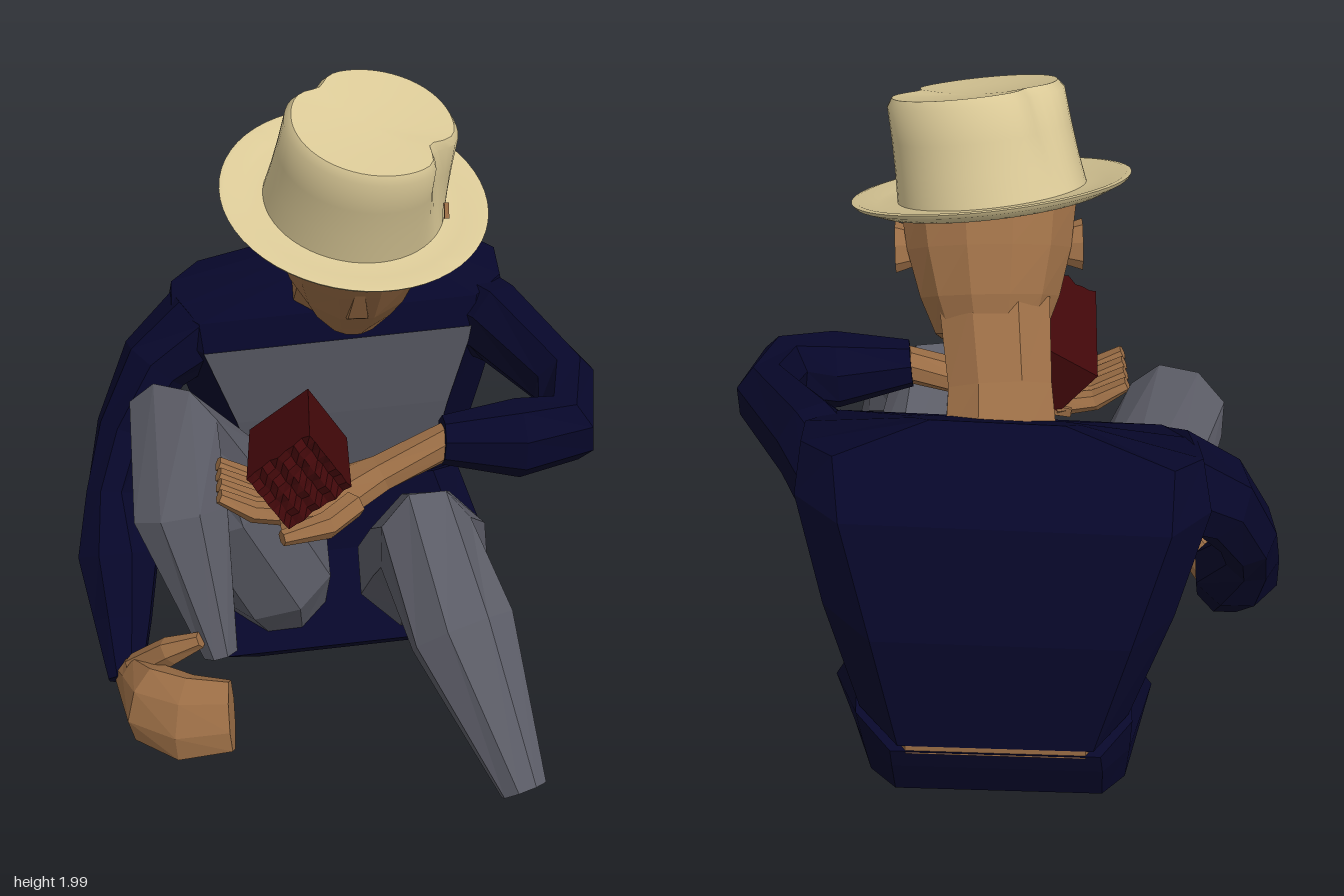
import * as THREE from 'three';
import { toCreasedNormals } from 'three/addons/utils/BufferGeometryUtils.js';

const V = (x, y, z) => new THREE.Vector3(x, y, z);
const paint = (name, color) => {
  const m = new THREE.MeshStandardMaterial({ color, side: THREE.DoubleSide });
  m.name = name;
  return m;
};

// Faceted skin over cross-sections; open strips have no wrap and no caps
function loft(rings, closed = true) {
  const pos = [], n = rings[0].length;
  const tri = (...ps) => ps.forEach((p) => pos.push(p.x, p.y, p.z));
  for (let i = 0; i < rings.length - 1; i++) {
    for (let j = 0; j < (closed ? n : n - 1); j++) {
      const k = (j + 1) % n;
      const a = rings[i][j], b = rings[i][k], c = rings[i + 1][k], d = rings[i + 1][j];
      tri(a, b, c);
      tri(a, c, d);
    }
  }
  if (closed) {
    [rings[0], rings[rings.length - 1]].forEach((r, end) => {
      const mid = r.reduce((s, p) => s.add(p), V(0, 0, 0)).divideScalar(n);
      for (let j = 0; j < n; j++) {
        const k = (j + 1) % n;
        if (end) tri(mid, r[j], r[k]);
        else tri(mid, r[k], r[j]);
      }
    });
  }
  const g = new THREE.BufferGeometry();
  g.setAttribute('position', new THREE.Float32BufferAttribute(pos, 3));
  g.computeVertexNormals();
  return g;
}

// Limb along stations [x, y, z, halfWidthAlongRef, halfDepth]
function limb(stations, ref, sides = 8, fixedDir = null) {
  const c = stations.map((s) => V(s[0], s[1], s[2]));
  const rings = stations.map((st, i) => {
    const d = V(0, 0, 0);
    if (fixedDir) d.copy(fixedDir);
    else {
      if (i > 0) d.add(c[i].clone().sub(c[i - 1]).normalize());
      if (i < c.length - 1) d.add(c[i + 1].clone().sub(c[i]).normalize());
      d.normalize();
    }
    const s = ref.clone().addScaledVector(d, -ref.dot(d)).normalize();
    const t = d.clone().cross(s);
    return Array.from({ length: sides }, (_, j) => {
      const a = ((j + 0.5) / sides) * Math.PI * 2, k = 1.06;
      return c[i].clone().addScaledVector(s, Math.cos(a) * st[3] * k).addScaledVector(t, Math.sin(a) * st[4] * k);
    });
  });
  return loft(rings);
}

// Bevelled section, higher on the model's left; inset narrows its back
function section([x0, x1, zb, zf, yb, yf], c = 0.1, inset = 0) {
  const outline = [[x1 - c, zf], [x1, zf - c], [x1 - inset, zb + c], [x1 - c - inset, zb],
    [x0 + c + inset, zb], [x0 + inset, zb + c], [x0, zf - c], [x0 + c, zf]];
  return outline.map(([x, z]) => {
    const y = yb + ((yf - yb) * (z - zb)) / (zf - zb) + (x - 0.05) * 0.08;
    return V(x, Math.max(0, y), z);
  });
}

export function createModel() {
  const model = new THREE.Group();
  const navy = paint('navy cloth', 0x07072a);
  const grey = paint('grey cloth', 0x5b5c66);
  const skin = paint('skin', 0x9a6d45);
  const straw = paint('straw', 0xd9c896);
  const red = paint('dark red', 0x42080a);
  const X = V(1, 0, 0), Y = V(0, 1, 0), Z = V(0, 0, 1);
  const add = (name, geometry, material, parent = model) => {
    const m = new THREE.Mesh(geometry, material);
    m.name = name;
    parent.add(m);
    return m;
  };

  // Jacket body with the shirt showing at its front
  const torso = [
    section([-0.28, 0.43, -0.77, -0.44, 0.42, 0.55]),
    section([-0.38, 0.5, -0.8, -0.38, 0.82, 0.85], 0.12),
    section([-0.46, 0.55, -0.74, -0.34, 1.14, 1.12], 0.11),
    section([-0.44, 0.53, -0.65, -0.37, 1.27, 1.2], 0.08),
    section([-0.14, 0.26, -0.59, -0.47, 1.345, 1.27], 0.04),
  ];
  add('jacket', loft(torso), navy);
  const shift = V(0, 0, 0.006);
  add('shirtFront', loft(torso.slice(0, 3).map((r) => [r[7].clone().add(shift), r[0].clone().add(shift)]), false), grey);

  // Hips, with a sliver of bare waist at the back
  add('hips', loft([
    section([-0.31, 0.36, -0.54, -0.25, 0.02, 0.04], 0.09, 0.06),
    section([-0.39, 0.52, -0.66, -0.18, 0.13, 0.11], 0.07, 0.1),
    section([-0.37, 0.51, -0.74, -0.36, 0.31, 0.35], 0.08, 0.08),
    section([-0.29, 0.44, -0.77, -0.42, 0.4, 0.57], 0.09),
  ]), navy);
  add('waist', loft([
    section([-0.26, 0.41, -0.768, -0.6, 0.39, 0.41]),
    section([-0.26, 0.41, -0.768, -0.6, 0.425, 0.44]),
  ]), skin);

  // Bent legs
  add('leftLeg', limb([
    [0.32, 0.19, -0.33, 0.15, 0.11], [0.3, 0.35, -0.25, 0.2, 0.19],
    [0.28, 0.61, 0.02, 0.17, 0.17], [0.23, 0.825, 0.285, 0.125, 0.165],
    [0.31, 0.665, 0.47, 0.14, 0.12], [0.445, 0.35, 0.75, 0.06, 0.06],
  ], X), grey);
  add('rightLeg', limb([
    [-0.13, 0.17, -0.33, 0.13, 0.11], [-0.16, 0.34, -0.28, 0.18, 0.18],
    [-0.32, 0.72, -0.19, 0.17, 0.18], [-0.44, 1.0, -0.08, 0.135, 0.135],
    [-0.43, 0.78, 0.02, 0.135, 0.11], [-0.335, 0.38, 0.16, 0.05, 0.06],
  ], X), grey);

  // Sleeves
  add('leftSleeve', limb([
    [0.43, 1.12, -0.54, 0.13, 0.12], [0.52, 1.13, -0.38, 0.12, 0.1],
    [0.665, 1.08, -0.1, 0.095, 0.085], [0.64, 1.04, 0.075, 0.1, 0.09],
    [0.5, 1.03, 0.1, 0.105, 0.1], [0.29, 1.04, 0.11, 0.065, 0.06],
  ], Y), navy);
  add('rightSleeve', limb([
    [-0.36, 1.1, -0.5, 0.14, 0.12], [-0.5, 1.0, -0.45, 0.12, 0.1],
    [-0.6, 0.82, -0.38, 0.1, 0.08], [-0.645, 0.66, -0.28, 0.09, 0.075],
    [-0.63, 0.5, -0.18, 0.11, 0.12], [-0.625, 0.34, -0.06, 0.09, 0.085],
    [-0.62, 0.23, 0.08, 0.045, 0.05],
  ], Z), navy);

  // Left hand, palm up under the box, fingers together
  const leftHand = new THREE.Group();
  leftHand.name = 'leftHand';
  model.add(leftHand);
  add('leftPalm', limb([
    [0.31, 1.04, 0.11, 0.05, 0.045], [0.12, 0.96, 0.14, 0.045, 0.06],
    [0.0, 0.915, 0.17, 0.045, 0.1], [-0.16, 0.9, 0.17, 0.035, 0.125],
  ], Y), skin, leftHand);
  for (let i = 0; i < 4; i++) {
    const z = 0.083 + i * 0.053;
    add('finger', limb([[-0.12, 0.905, z, 0.03, 0.032], [-0.23, 0.92, z, 0.027, 0.031],
      [-0.32, 0.975, z, 0.016, 0.026]], Y, 6), skin, leftHand);
  }
  add('leftThumb', limb([[0.04, 0.93, 0.24, 0.035, 0.035], [-0.04, 0.92, 0.32, 0.035, 0.035],
    [-0.16, 0.92, 0.37, 0.02, 0.02]], Y, 6), skin, leftHand);

  // Right hand, hanging and curled inward, leaning back at its top
  add('rightHand', limb([
    [-0.61, 0.24, 0.07, 0.05, 0.04], [-0.58, 0.27, 0.16, 0.09, 0.05],
    [-0.54, 0.28, 0.25, 0.115, 0.075], [-0.44, 0.28, 0.32, 0.12, 0.07],
    [-0.31, 0.295, 0.34, 0.1, 0.045],
  ], V(0, 0.85, -0.5)), skin);
  add('rightThumb', limb([[-0.58, 0.31, 0.13, 0.045, 0.04], [-0.48, 0.41, 0.18, 0.04, 0.035],
    [-0.39, 0.46, 0.2, 0.022, 0.022]], Y, 6), skin);

  // Box with a ragged front end
  const box = new THREE.BoxGeometry(0.2, 0.18, 0.34, 8, 8, 1);
  const bp = box.attributes.position;
  for (let i = 0; i < bp.count; i++) {
    if (bp.getZ(i) < 0.1) continue;
    const wave = Math.sin(bp.getX(i) * 130 + 1) + Math.sin(bp.getY(i) * 150 + bp.getX(i) * 60);
    bp.setZ(i, bp.getZ(i) + 0.007 * wave);
  }
  const boxFlat = box.toNonIndexed();
  boxFlat.computeVertexNormals();
  const held = add('heldBox', boxFlat, red);
  held.position.set(-0.105, 1.06, 0.2);
  held.rotation.set(-0.18, -0.05, 0.62);

  // Neck and bowed head
  add('neck', limb([[0.05, 1.2, -0.48, 0.14, 0.1], [0.05, 1.3, -0.38, 0.13, 0.09],
    [0.06, 1.46, -0.24, 0.14, 0.1]], X), skin);
  const head = new THREE.Group();
  head.name = 'head';
  head.position.set(0.07, 1.45, -0.13);
  head.rotation.x = 0.61;
  model.add(head);
  add('skull', limb([
    [0, -0.18, 0.06, 0.07, 0.05], [0, -0.13, -0.03, 0.135, 0.145],
    [0, -0.04, -0.04, 0.17, 0.17], [0, 0.08, -0.045, 0.2, 0.178],
    [0, 0.2, -0.045, 0.215, 0.18], [0, 0.3, -0.05, 0.19, 0.15], [0, 0.36, -0.07, 0.1, 0.08],
  ], X, 12, Y), skin, head);
  add('nose', limb([[0, -0.03, 0.115, 0.04, 0.035], [0, -0.01, 0.12, 0.036, 0.04],
    [0, 0.14, 0.12, 0.01, 0.015]], X, 4, Y), skin, head);
  for (const side of [-1, 1]) {
    const ear = new THREE.CylinderGeometry(1, 0.8, 0.04, 8).rotateZ(-side * Math.PI / 2).scale(1, 0.065, 0.04);
    add(side > 0 ? 'leftEar' : 'rightEar', toCreasedNormals(ear, 0.3), skin, head).position.set(side * 0.215, 0.09, -0.06);
  }

  // Hat turned from one profile, its crown pinched in two places
  const profile = [[0.225, -0.01], [0.3, -0.008], [0.345, 0.012], [0.352, 0.022], [0.34, 0.024],
    [0.29, 0.008], [0.238, 0.008], [0.23, 0.08], [0.224, 0.16], [0.22, 0.245], [0.205, 0.265],
    [0.12, 0.255], [0, 0.248]].map(([x, y]) => new THREE.Vector2(x, y));
  const hatShape = new THREE.LatheGeometry(profile, 56);
  const hp = hatShape.attributes.position;
  for (let i = 0; i < hp.count; i++) {
    const x = hp.getX(i), y = hp.getY(i), z = hp.getZ(i);
    if (y < 0.05) continue;
    const angle = Math.atan2(x, z);
    const pinch = (at, depth) => depth * Math.exp(-(((angle - at) / 0.22) ** 2));
    const k = 1 - (pinch(1.05, 0.24) + pinch(-2.35, 0.14)) * (y / 0.265);
    hp.setXYZ(i, x * k + 0.05 * y, y, z * k);
  }
  const hat = add('hat', toCreasedNormals(hatShape, 0.7), straw);
  hat.position.set(0.06, 1.672, -0.065);
  hat.rotation.set(0.32, 0, -0.1);
  const peg = add('hatPeg', new THREE.BoxGeometry(0.012, 0.04, 0.012), skin);
  peg.position.set(0.29, 1.68, 0.03);
  peg.rotation.x = -0.5;

  return model;
}
